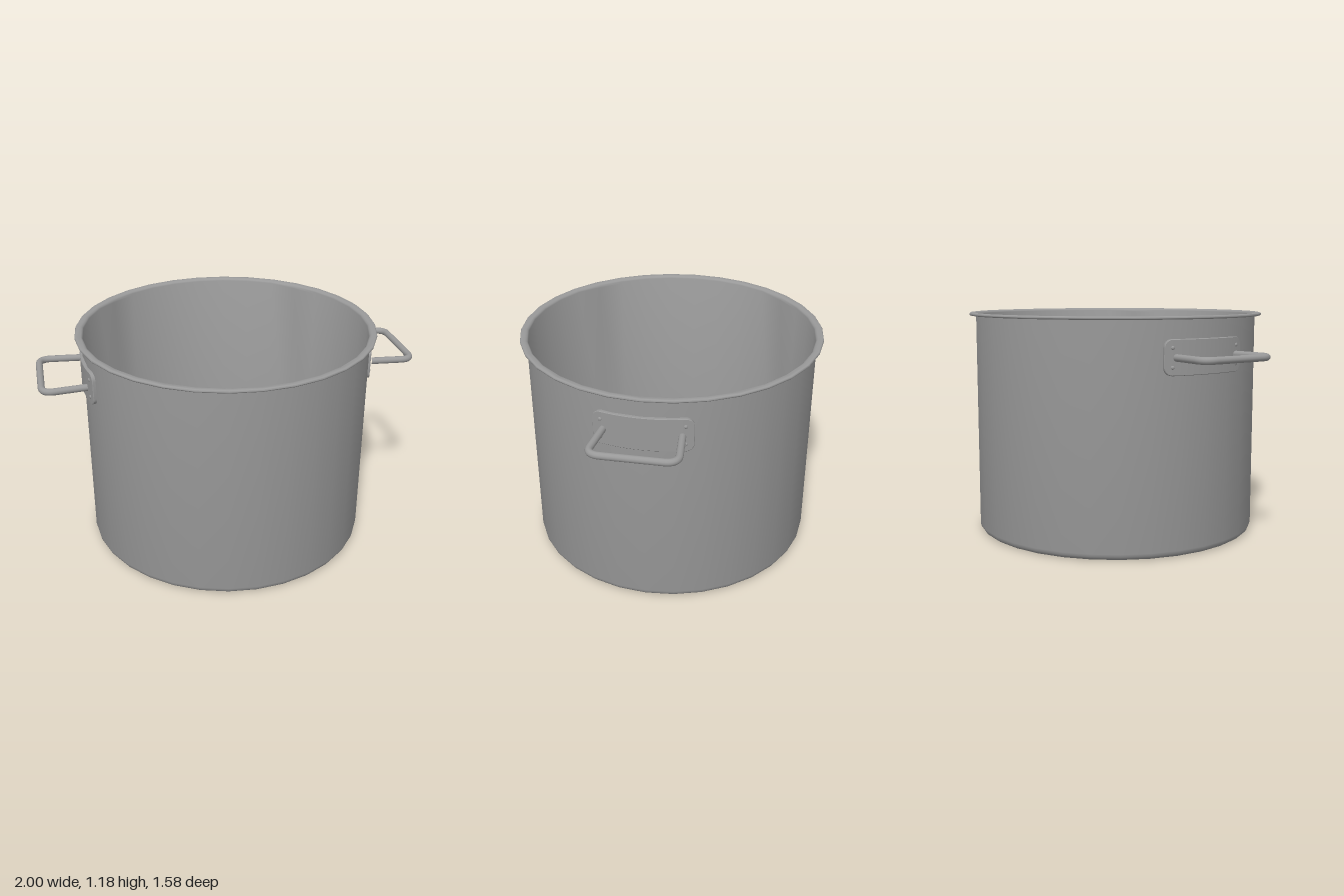
import * as THREE from 'three';
import { toCreasedNormals } from 'three/addons/utils/BufferGeometryUtils.js';

const material = new THREE.MeshStandardMaterial({ color: 0x999999 });
const WALL = 0.757;      // outer radius of the pot wall
const HANDLE_Y = 0.986;  // height of the handle centre line

function part(name, geometry, parent) {
  const mesh = new THREE.Mesh(geometry, material);
  mesh.name = name;
  parent.add(mesh);
  return mesh;
}

// Pot: one closed profile, outside from the base up, over the rim, down the inside
function potGeometry() {
  const points = [new THREE.Vector2(0, 0)];
  const arc = (cx, cy, r, from, to, steps) => {
    for (let i = 0; i <= steps; i++) {
      const a = from + (to - from) * i / steps;
      points.push(new THREE.Vector2(cx + r * Math.cos(a), cy + r * Math.sin(a)));
    }
  };
  const H = Math.PI / 2;
  arc(WALL - 0.035, 0.035, 0.035, -H, 0, 4);      // outer base fillet
  points.push(new THREE.Vector2(WALL, 1.166));
  arc(0.784, 1.174, 0.008, -H, H, 6);             // rolled rim edge
  arc(0.769, 1.161, 0.021, H, 2 * H, 4);          // flare into the pot
  arc(0.703, 0.057, 0.045, 0, -H, 5);             // inner base fillet
  points.push(new THREE.Vector2(0, 0.012));
  return toCreasedNormals(new THREE.LatheGeometry(points, 32), 0.7);
}

// Plate: a box reshaped to a rounded outline, chamfered in front, wrapped on the wall
function plateGeometry() {
  const corner = 6, middle = 12, columns = 2 * corner + middle;
  const W = 0.24, H = 0.0875, R = 0.04, T = 0.014, bevel = 0.003;
  const g = new THREE.BoxGeometry(columns, 2, 2, columns, 1, 2);
  const p = g.attributes.position;
  for (let i = 0; i < p.count; i++) {
    const col = p.getX(i), layer = p.getZ(i);
    const inset = layer > 0.5 ? bevel : 0;
    const w = W - inset, h = H - inset, r = R - inset;
    const over = Math.max(0, Math.abs(col) - middle / 2) / corner * Math.PI / 2;
    const u = over > 0
      ? Math.sign(col) * (w - r + r * Math.sin(over))
      : col / (middle / 2) * (w - r);
    const v = Math.sign(p.getY(i)) * (h - r + r * Math.cos(over));
    const radius = WALL + (layer > 0.5 ? T : layer < -0.5 ? -0.006 : T - bevel);
    const angle = Math.asin(u / WALL);
    p.setXYZ(i, radius * Math.cos(angle), HANDLE_Y + v, -radius * Math.sin(angle));
  }
  return toCreasedNormals(g, 0.5);
}

// Grip: a bent rod with rounded corners
function gripGeometry() {
  const at = (x, z) => new THREE.Vector3(x, HANDLE_Y, z);
  const path = new THREE.CurvePath();
  path.add(new THREE.LineCurve3(at(0.755, 0.19), at(0.915, 0.206)));
  path.add(new THREE.QuadraticBezierCurve3(at(0.915, 0.206), at(0.982, 0.213), at(0.982, 0.145)));
  path.add(new THREE.LineCurve3(at(0.982, 0.145), at(0.982, -0.145)));
  path.add(new THREE.QuadraticBezierCurve3(at(0.982, -0.145), at(0.982, -0.213), at(0.915, -0.206)));
  path.add(new THREE.LineCurve3(at(0.915, -0.206), at(0.755, -0.19)));
  return new THREE.TubeGeometry(path, 80, 0.018, 12, false);
}

function createHandle(name) {
  const handle = new THREE.Group();
  handle.name = name;
  part('handlePlate', plateGeometry(), handle);
  part('handleGrip', gripGeometry(), handle);
  // Domed rivets near the plate corners
  for (const z of [-0.2, 0.2]) {
    for (const dy of [-0.047, 0.047]) {
      const angle = Math.asin(z / WALL), r = WALL + 0.013;
      const dome = new THREE.SphereGeometry(0.01, 12, 5, 0, Math.PI * 2, 0, Math.PI / 2);
      dome.scale(1, 0.7, 1).rotateZ(-Math.PI / 2);
      const rivet = part('rivet', dome, handle);
      rivet.rotation.y = -angle;
      rivet.position.set(r * Math.cos(angle), HANDLE_Y + dy, r * Math.sin(angle));
    }
  }
  return handle;
}

export function createModel() {
  const model = new THREE.Group();
  model.name = 'stockPot';
  part('potBody', potGeometry(), model);
  model.add(createHandle('leftHandle'));
  const right = createHandle('rightHandle');
  right.rotation.y = Math.PI;
  model.add(right);
  return model;
}
